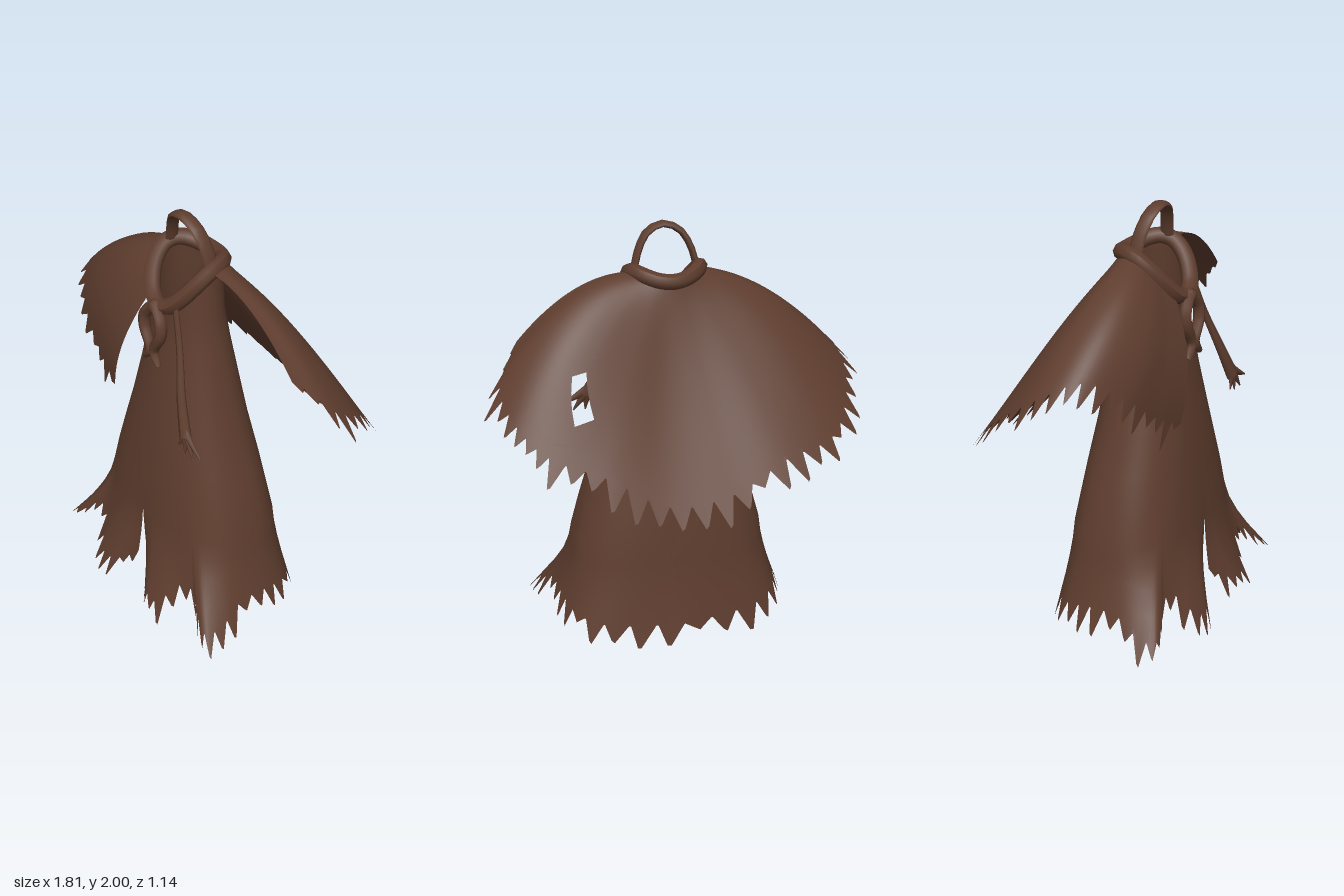
import * as THREE from 'three';

const V = (x, y, z) => new THREE.Vector3(x, y, z);
const cloth = new THREE.MeshStandardMaterial({ color: 0x5e3d2e, side: THREE.DoubleSide });
cloth.name = 'brownCloth';

// Seeded random lengths, one for each frayed tooth
let seed = 7;
const rnd = () => (seed = (seed * 16807) % 2147483647) / 2147483647;
const frays = Array.from({ length: 60 }, rnd);

// Three columns make a blunt tooth: a notch, then two tip corners drawn together
function tooth(i) {
  const k = i % 3, f = frays[Math.floor(i / 3) % 60];
  if (k === 0) return { shift: 0, length: -0.025 * f };
  return { shift: k === 1 ? 0.25 : -0.35, length: 0.01 + 0.11 * f + 0.012 * k };
}

function mesh(name, geometry) {
  const m = new THREE.Mesh(geometry, cloth);
  m.name = name;
  return m;
}

// Cloth sheet: at(i, j) gives the point in column i, row j; skip leaves holes
function sheet(cols, rows, at, skip = () => false) {
  const pos = [], idx = [];
  for (let j = 0; j <= rows; j++)
    for (let i = 0; i <= cols; i++) pos.push(...at(i, j).toArray());
  for (let j = 0; j < rows; j++)
    for (let i = 0; i < cols; i++) {
      if (skip(i, j)) continue;
      const a = j * (cols + 1) + i, b = a + cols + 1;
      idx.push(a, b, a + 1, b, b + 1, a + 1);
    }
  const g = new THREE.BufferGeometry();
  g.setAttribute('position', new THREE.Float32BufferAttribute(pos, 3));
  g.setIndex(idx);
  g.computeVertexNormals();
  return g;
}

// Rope along a path, with radius varying by t and optional stretch in z
function strand(points, radius, { closed = false, segs = 24, sides = 8, zs = 1 } = {}) {
  const curve = new THREE.CatmullRomCurve3(points, closed);
  const g = new THREE.TubeGeometry(curve, segs, 1, sides, closed);
  const p = g.attributes.position, v = V(0, 0, 0);
  for (let k = 0; k < p.count; k++) {
    const t = Math.floor(k / (sides + 1)) / segs;
    const c = curve.getPointAt(closed ? t % 1 : t);
    const r = typeof radius === 'function' ? radius(t) : radius;
    v.fromBufferAttribute(p, k).sub(c).multiplyScalar(r);
    p.setXYZ(k, c.x + v.x, c.y + v.y, c.z + v.z * zs);
  }
  g.computeVertexNormals();
  return g;
}

// Neckline ring, low at the front; angle 0 is the front, positive towards +x
const neck = (a) => V(0.165 * Math.sin(a),
  1.755 - 0.17 * Math.pow((1 + Math.cos(a)) / 2, 2.5) + 0.05 * Math.sin(a) ** 2,
  0.115 + 0.15 * Math.cos(a));

// Robe sections: height, half width, front z, back z, squareness
const sections = [
  [1.55, 0.185, 0.25, -0.03, 0.95], [1.4, 0.21, 0.265, -0.05, 0.92],
  [1.2, 0.26, 0.295, -0.08, 0.9], [1.0, 0.31, 0.33, -0.11, 0.87],
  [0.8, 0.38, 0.355, -0.14, 0.84], [0.65, 0.425, 0.375, -0.16, 0.81],
  [0.5, 0.465, 0.39, -0.18, 0.78],
];
const spow = (v, p) => Math.sign(v) * Math.pow(Math.abs(v), p);

function robeRing([y, w, zf, zb, p], a) {
  return V(w * spow(Math.sin(a), p), y, (zf + zb) / 2 + ((zf - zb) / 2) * spow(Math.cos(a), p));
}

// Left half of the robe hem, from the front slit round to the back
const robeHem = new THREE.CatmullRomCurve3([
  V(0.04, 0.19, 0.4), V(0.09, 0.14, 0.45), V(0.16, 0.11, 0.49), V(0.24, 0.11, 0.485),
  V(0.31, 0.23, 0.41), V(0.4, 0.25, 0.385), V(0.48, 0.17, 0.42), V(0.565, 0.12, 0.43),
  V(0.575, 0.14, 0.34), V(0.55, 0.2, 0.22), V(0.545, 0.2, 0.1), V(0.53, 0.18, 0),
  V(0.49, 0.15, -0.1), V(0.38, 0.12, -0.18), V(0.2, 0.11, -0.22), V(0, 0.1, -0.24),
]);

function robe() {
  const cols = 132, n = sections.length, drop = 4;
  const hemAngle = (h) => Math.atan2(spow(h.x / 0.55, 1.43), spow((h.z - 0.1) / 0.34, 1.43));
  const a0 = hemAngle(robeHem.getPoint(0));
  const point = (col, j) => {
    const k = (col / cols) * 2, side = k <= 1 ? 1 : -1;
    const h = robeHem.getPoint(k <= 1 ? k : 2 - k);
    const a = ((hemAngle(h) - a0) * Math.PI) / (Math.PI - a0);
    let p;
    if (j === 0) p = neck(a);
    else if (j <= n) p = robeRing(sections[j - 1], a);
    else {
      // the skirt sweeps outwards towards its hem
      const f = (j - n) / drop, top = robeRing(sections[n - 1], a);
      const y = THREE.MathUtils.lerp(top.y, h.y, f);
      p = top.lerp(h, Math.pow(f, 1.4)).setY(y);
    }
    p.x *= side;
    return p;
  };
  return sheet(cols, n + drop + 1, (i, j) => {
    if (j <= n + drop) return point(i, j);
    // frayed teeth continue the fall of the cloth
    const { shift, length } = tooth(i);
    const p = point(i + shift, n + drop);
    const dir = p.clone().sub(point(i + shift, n + drop - 1)).normalize();
    p.addScaledVector(dir, length);
    p.y = Math.max(0, p.y);
    return p;
  });
}

// Cape hem from the right front edge, round the back, to the torn left edge
const capeHem = new THREE.CatmullRomCurve3([
  V(-0.23, 1.07, 0.37), V(-0.41, 1.17, 0.34), V(-0.6, 1.32, 0.29), V(-0.74, 1.42, 0.17),
  V(-0.83, 1.34, 0), V(-0.8, 1.2, -0.2), V(-0.67, 1.06, -0.37), V(-0.42, 1.01, -0.45),
  V(-0.15, 0.9, -0.52), V(0.15, 0.88, -0.53), V(0.42, 1.02, -0.45), V(0.655, 1.11, -0.37),
  V(0.77, 1.22, -0.25), V(0.81, 1.34, -0.07), V(0.7, 1.5, 0.085),
]);

function capePoint(u, v) {
  const n = neck(-0.5 - 4.2 * u), h = capeHem.getPoint(u);
  const c = n.clone().lerp(h, 0.5);
  // rounded shoulders, full right front, hollow back
  c.y += (h.x > 0 ? 0.2 : 0.14) * Math.pow(h.x / 0.8, 2);
  if (h.x < 0) c.z += 0.1 * Math.max(0, h.z / 0.36);
  c.z += 0.1 * Math.pow(Math.min(0, h.z / 0.5), 2);
  return n.multiplyScalar((1 - v) * (1 - v)).addScaledVector(c, 2 * v * (1 - v)).addScaledVector(h, v * v);
}

function cape() {
  const cols = 126, rows = 24;
  return sheet(cols, rows + 1, (i, j) => {
    if (j <= rows) {
      // turn the weave around the hole so that its sides hang upright
      const du = (i - 98) / 9, dv = (j - 17.5) / rows;
      const w = Math.exp(-Math.pow(du / 1.2, 4) - Math.pow(dv / 0.17, 4));
      const u = 98 / 9 + du + w * (-0.32 * du - 4.5 * dv);
      const v = 17.5 / rows + dv + w * (0.135 * du + 0.36 * dv);
      return capePoint(Math.min(1, u / 14), j === rows ? 1 : Math.min(v, 1));
    }
    const { shift, length } = tooth(i);
    const u = THREE.MathUtils.clamp((i + shift) / cols, 0, 1);
    const p = capePoint(u, 1);
    const dir = p.clone().sub(capePoint(u, 0.94)).normalize();
    return p.addScaledVector(dir, i > cols - 6 ? Math.min(length, 0.02) : length);
  }, (i, j) => i >= 96 && i < 100 && j >= 16 && j < 19); // torn hole on the left
}

export function createModel() {
  const model = new THREE.Group();
  model.name = 'tatteredRobe';
  model.add(mesh('robe', robe()), mesh('cape', cape()));

  // Rolled collar
  const ring = [];
  for (let k = 0; k < 16; k++) ring.push(neck((k / 16) * Math.PI * 2));
  model.add(mesh('collar', strand(ring, 0.038, { closed: true, segs: 48 })));

  // Hanging loop above the neck
  const arch = [V(-0.15, 1.77, 0.09), V(-0.13, 1.86, 0.1), V(-0.08, 1.95, 0.12), V(0, 1.984, 0.13),
    V(0.08, 1.95, 0.12), V(0.13, 1.86, 0.1), V(0.15, 1.77, 0.09)];
  model.add(mesh('hangingLoop', strand(arch, 0.016, { segs: 12, zs: 2.1 })));

  // Knotted tie on the chest
  const knot = mesh('tieKnot', new THREE.SphereGeometry(0.036, 12, 8));
  knot.position.set(0, 1.585, 0.285);
  model.add(knot);
  for (const s of [-1, 1]) {
    const tail = [V(0, 1.6, 0.285), V(s * 0.06, 1.53, 0.3), V(s * 0.062, 1.47, 0.305),
      V(s * 0.015, 1.37, 0.31), V(s * 0.055, 1.31, 0.315)];
    model.add(mesh('tieTail', strand(tail, (t) => 0.028 - 0.014 * Math.pow(t, 4))));
  }

  // Torn strip hanging from the left of the collar, with a frayed end
  const strip = new THREE.Group();
  strip.name = 'tornStrip';
  strip.add(mesh('stripBand', strand(
    [V(0.1, 1.63, 0.25), V(0.17, 1.45, 0.28), V(0.25, 1.25, 0.33), V(0.32, 1.1, 0.36)],
    (t) => 0.018 + 0.02 * t * t, { zs: 0.6 })));
  for (const [x, y] of [[0.28, 1.04], [0.33, 1.02], [0.39, 1.02], [0.44, 1.06]])
    strip.add(mesh('stripFray', strand(
      [V(0.31, 1.13, 0.355), V((0.32 + x) / 2, (1.12 + y) / 2, 0.365), V(x, y, 0.37)],
      (t) => 0.026 * (1 - t) + 0.004, { segs: 8, sides: 6, zs: 0.6 })));
  model.add(strip);
  return model;
}
